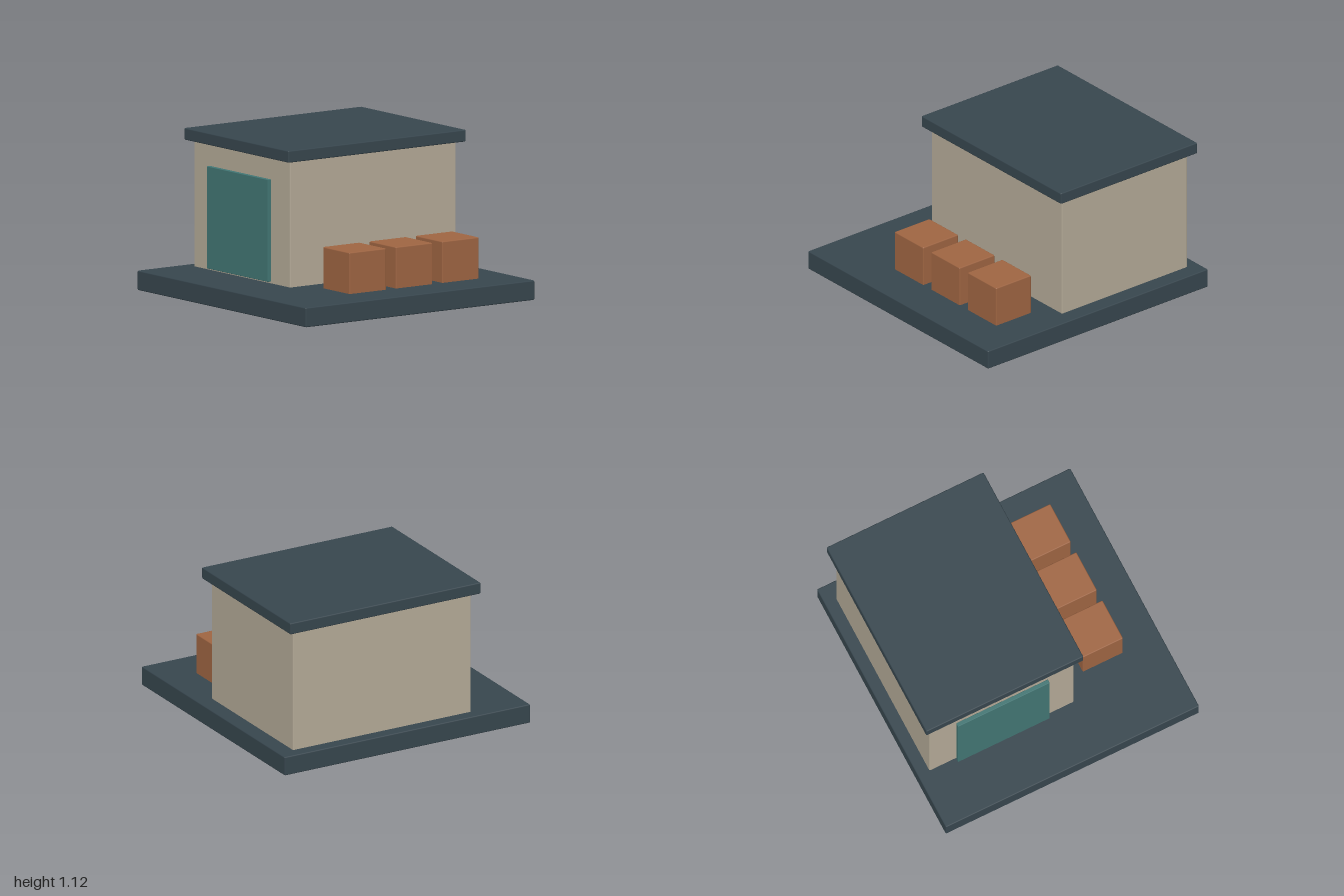
import * as THREE from 'three';
import { RoundedBoxGeometry } from 'three/addons/geometries/RoundedBoxGeometry.js';

const material = (name, color) => {
  const m = new THREE.MeshStandardMaterial({ color });
  m.name = name;
  return m;
};

// Box given by its lower and upper corners, with slightly softened edges
function box(name, mat, [x0, y0, z0], [x1, y1, z1], bevel = 0.008) {
  const geometry = new RoundedBoxGeometry(x1 - x0, y1 - y0, z1 - z0, 1, bevel);
  const mesh = new THREE.Mesh(geometry, mat);
  mesh.name = name;
  mesh.position.set((x0 + x1) / 2, (y0 + y1) / 2, (z0 + z1) / 2);
  return mesh;
}

export function createModel() {
  const slate = material('slate', 0x37464e);
  const plaster = material('plaster', 0xb4aa97);
  const teal = material('teal', 0x427674);
  const wood = material('wood', 0x9f6542);

  const model = new THREE.Group();
  model.name = 'storageShed';
  const baseTop = 0.14;

  // Ground slab, building and overhanging flat roof
  model.add(
    box('baseSlab', slate, [-1, 0, -1], [1, baseTop, 1]),
    box('walls', plaster, [-0.91, baseTop - 0.01, -0.88], [0.23, 1.05, 0.57]),
    box('roof', slate, [-0.96, 1.04, -0.93], [0.28, 1.125, 0.62]),
  );

  // Large door panel standing just off the front wall
  model.add(box('door', teal, [-0.705, 0.155, 0.58], [0.02, 0.885, 0.61], 0.004));

  // Row of crates along the side of the building
  const crates = new THREE.Group();
  crates.name = 'crates';
  for (let i = 0; i < 3; i++) {
    const z = 0.24 - i * 0.405;
    crates.add(box('crate' + (i + 1), wood, [0.387, baseTop - 0.01, z - 0.16], [0.705, 0.435, z + 0.16]));
  }
  model.add(crates);

  return model;
}
